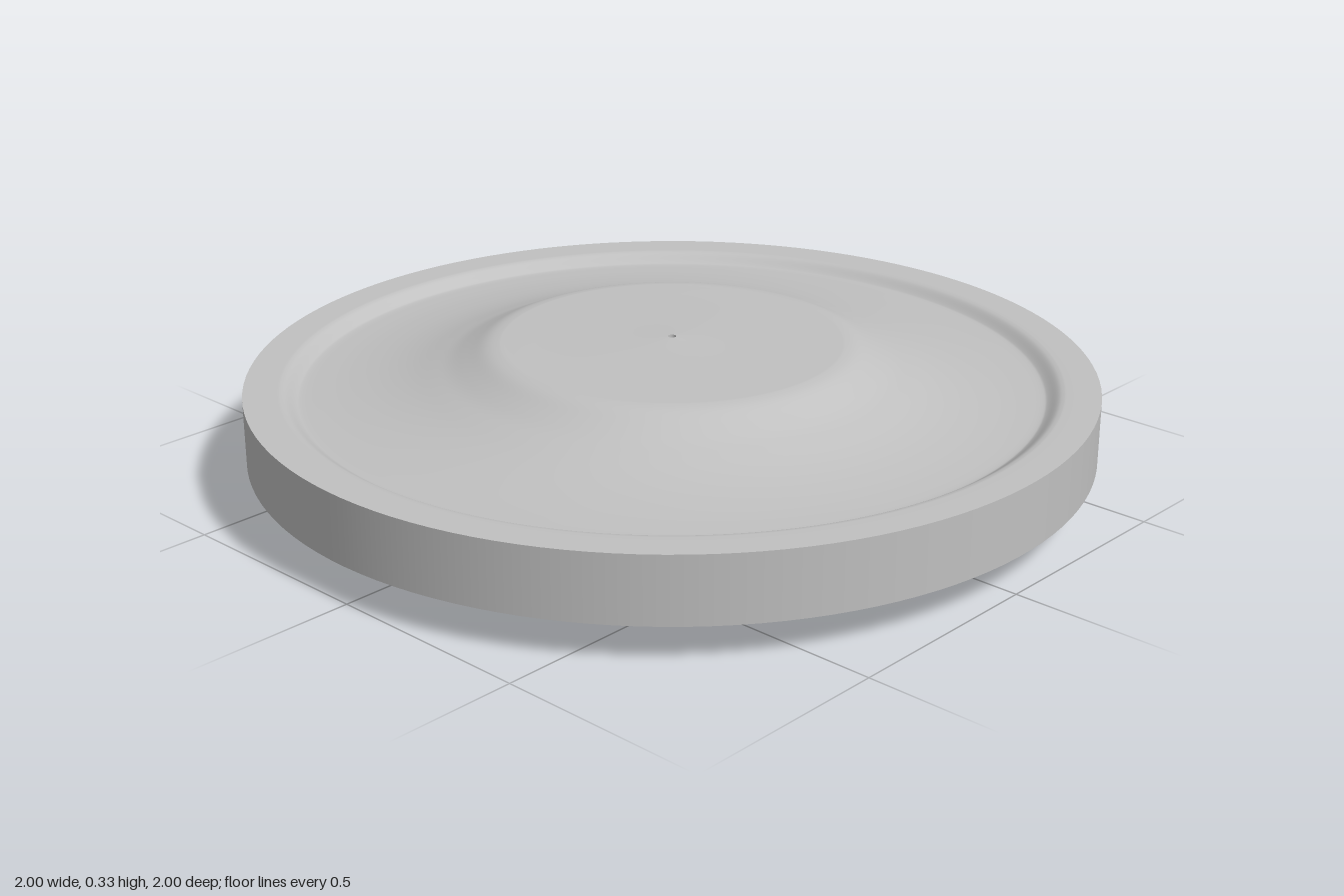
import * as THREE from 'three';

const MID = 0.167;   // height of the symmetry plane
const BORE = 0.01;   // radius of the centre hole
const SEGMENTS = 128;

export function createModel() {
  const group = new THREE.Group();
  group.name = 'disc';
  const grey = new THREE.MeshStandardMaterial({ color: 0xc0c0c0 });
  grey.name = 'grey';

  // Revolves a list of [radius, height above the symmetry plane]
  const revolve = (name, points) => {
    const profile = points.map(([r, h]) => new THREE.Vector2(r, MID + h));
    const mesh = new THREE.Mesh(new THREE.LatheGeometry(profile, SEGMENTS), grey);
    mesh.name = name;
    group.add(mesh);
  };

  // Half profile of a face: raised hub, sloping shoulder, shallow dish, rim lip
  const controls = [
    [BORE, 0.166], [0.1, 0.162], [0.25, 0.159], [0.38, 0.158], [0.41, 0.157],
    [0.44, 0.15], [0.48, 0.131], [0.52, 0.113], [0.56, 0.1], [0.62, 0.083],
    [0.69, 0.069], [0.77, 0.059], [0.83, 0.055], [0.867, 0.054], [0.88, 0.058],
    [0.9, 0.073], [0.913, 0.078], [0.93, 0.079], [1, 0.079],
  ].map(([r, h]) => new THREE.Vector2(r, h));
  const face = new THREE.SplineCurve(controls).getPoints(72).map((p) => [p.x, p.y]);

  revolve('bottomFace', face.map(([r, h]) => [r, -h]));
  revolve('topFace', [...face].reverse());
  revolve('outerRim', [[1, -0.079], [1, 0.079]]);
  revolve('centreBore', [[BORE, 0.166], [BORE, -0.166]]);

  return group;
}
